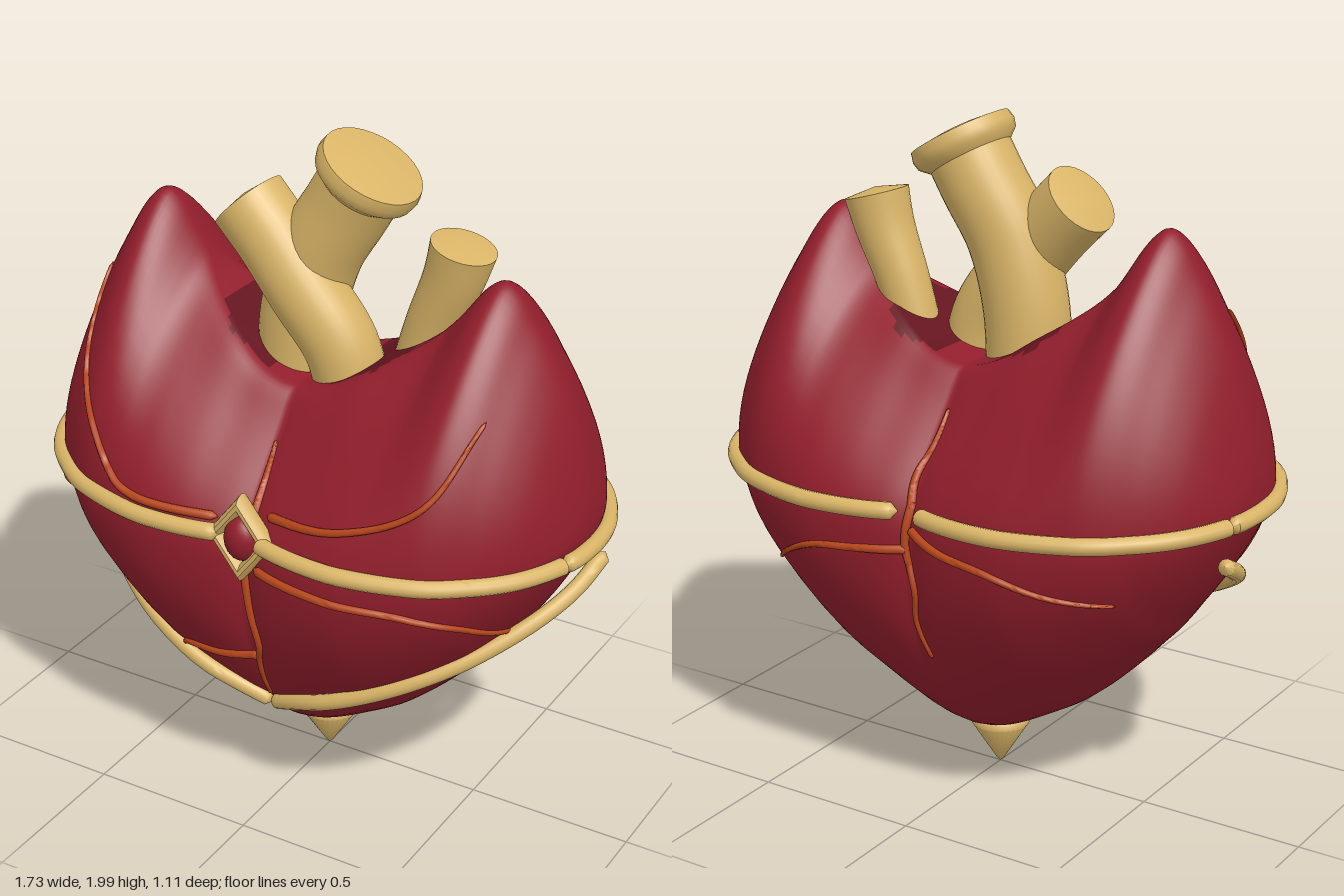
import * as THREE from 'three';
import { toCreasedNormals } from 'three/addons/utils/BufferGeometryUtils.js';

const material = (name, color) => {
  const m = new THREE.MeshStandardMaterial({ color });
  m.name = name;
  return m;
};

// Half-width stations of the heart: x, top y, bottom y, half depth
const STATIONS = [
  [0, 1.30, 0.14, 0.46], [0.06, 1.315, 0.15, 0.49], [0.13, 1.345, 0.18, 0.51],
  [0.21, 1.40, 0.225, 0.522], [0.30, 1.46, 0.28, 0.525], [0.37, 1.52, 0.335, 0.515],
  [0.43, 1.60, 0.39, 0.50], [0.49, 1.69, 0.45, 0.48], [0.54, 1.725, 0.505, 0.46],
  [0.59, 1.69, 0.56, 0.43], [0.64, 1.61, 0.63, 0.39], [0.69, 1.52, 0.70, 0.345],
  [0.74, 1.41, 0.78, 0.285], [0.78, 1.29, 0.855, 0.215], [0.81, 1.17, 0.92, 0.14],
  [0.825, 1.08, 0.96, 0.075], [0.83, 1.0, 1.0, 0],
];
const spline = (pick) => new THREE.CatmullRomCurve3(STATIONS.map(pick), false, 'catmullrom', 0.5);
const heights = spline(([x, t, b]) => new THREE.Vector3(x, t, b));
const depths = spline(([x, , , z]) => new THREE.Vector3(x, z, 0));

// Cross-section at spline position t, on one side of the heart
function sectionAt(t, side) {
  const p = heights.getPoint(t);
  let top = p.y;
  if (side > 0 && top > 1.3) top = 1.3 + (top - 1.3) * 0.87;
  return { x: p.x, top, bottom: p.z, depth: Math.max(0, depths.getPoint(t).y), mid: 0.88 + 0.12 * (p.x / 0.83) ** 2 };
}
function sectionAtX(x) {
  let lo = 0, hi = 1;
  for (let i = 0; i < 30; i++) {
    const m = (lo + hi) / 2;
    if (heights.getPoint(m).x < Math.abs(x)) lo = m; else hi = m;
  }
  return sectionAt(lo, Math.sign(x));
}
// Half depth of a section: u = 0 at the widest height, 1 at top or bottom
function halfDepth(s, u, upper) {
  const k = upper ? 0.36 : 0.75;
  const f = (1 - k) * Math.cos(u * Math.PI / 2) + k * Math.sqrt(Math.max(0, 1 - u * u));
  // flat floor in the valley above, groove fading out below
  if (upper) return s.depth * (f + 0.36 * Math.max(0, 1 - (s.x / 0.4) ** 2) * u ** 4);
  const groove = s.x < 0.25 ? Math.max(0, 0.522 - s.depth) : 0;
  return (s.depth + groove * u) * f;
}
function surfaceZ(x, y) {
  const s = sectionAtX(x), upper = y > s.mid;
  const u = Math.min(1, Math.abs(y - s.mid) / Math.max(0.001, upper ? s.top - s.mid : s.mid - s.bottom));
  return halfDepth(s, u, upper);
}

function heartGeometry() {
  const N = 72, R = 72, pos = [], red = [], dark = [];
  for (let i = -N; i <= N; i++) {
    const side = Math.sign(i), s = sectionAt(Math.abs(i) / N, side);
    for (let j = 0; j < R; j++) {
      const a = j / R * Math.PI * 2, u = Math.sin(a);
      const y = s.mid + u * (u > 0 ? s.top - s.mid : s.mid - s.bottom);
      pos.push(side * s.x, y, Math.sign(Math.cos(a)) * halfDepth(s, Math.abs(u), u > 0));
    }
  }
  for (let i = 0; i < 2 * N; i++) for (let j = 0; j < R; j++) {
    const a = i * R + j, b = a + R, c = i * R + (j + 1) % R, d = c + R;
    const x = Math.abs(pos[a * 3] + pos[d * 3]) / 2, z = (pos[a * 3 + 2] + pos[d * 3 + 2]) / 2;
    // dark hollows around the vessel roots
    const hollow = pos[a * 3 + 1] > 1.2 && ((x - 0.2) / 0.1) ** 2 + ((z + 0.02) / 0.18) ** 2 < 1;
    (hollow ? dark : red).push(a, b, d, a, d, c);
  }
  const g = new THREE.BufferGeometry();
  g.setAttribute('position', new THREE.Float32BufferAttribute(pos, 3));
  g.setIndex([...red, ...dark]);
  g.addGroup(0, red.length, 0);
  g.addGroup(red.length, dark.length, 1);
  g.computeVertexNormals();
  return g;
}

// Tube with a varying radius and closed, slightly domed ends
function tube(points, radius, segments = 40, sides = 12) {
  const curve = new THREE.CatmullRomCurve3(points);
  const g = new THREE.TubeGeometry(curve, segments, 1, sides), p = g.attributes.position;
  const v = new THREE.Vector3();
  for (let i = 0; i <= segments; i++) {
    const c = curve.getPointAt(i / segments);
    const r = i === 0 || i === segments ? 0 : radius(i / segments);
    for (let j = 0; j <= sides; j++) {
      const k = i * (sides + 1) + j;
      v.fromBufferAttribute(p, k).sub(c).multiplyScalar(r).add(c);
      p.setXYZ(k, v.x, v.y, v.z);
    }
  }
  return toCreasedNormals(g, 0.9);
}

const vectors = (list) => list.map((p) => new THREE.Vector3(...p));
const lathe = (profile) => toCreasedNormals(
  new THREE.LatheGeometry(profile.map((p) => new THREE.Vector2(...p)), 32), 0.7);

// Samples a front-view path and lays it on the heart surface
function onSurface(path, face, lift) {
  const curve = new THREE.CatmullRomCurve3(path.map(([x, y]) => new THREE.Vector3(x, y, 0)), false, 'centripetal');
  return curve.getPoints(28).map((p) => new THREE.Vector3(p.x * 1.004, p.y, face * (surfaceZ(p.x, p.y) + lift)));
}

export function createModel() {
  const group = new THREE.Group();
  const red = material('heart red', 0x921e2c);
  const dark = material('hollow dark red', 0x64141f);
  const gold = material('gold', 0xd9b467);
  const orange = material('vein orange', 0xb8461c);
  const add = (name, geometry, mat) => {
    const mesh = new THREE.Mesh(geometry, mat);
    mesh.name = name;
    group.add(mesh);
    return mesh;
  };

  add('heartBody', heartGeometry(), [red, dark]);

  // Vessels rising from the valley
  add('mainVessel', tube(vectors([[-0.1, 1.2, 0], [-0.085, 1.45, 0], [-0.03, 1.64, 0], [0.05, 1.78, -0.01], [0.115, 1.89, -0.01]]),
    () => 0.123, 32, 32), gold);
  const rim = add('mainVesselRim', lathe([[0, -0.05], [0.122, -0.05], [0.15, -0.025], [0.156, 0], [0.15, 0.026], [0.08, 0.036], [0, 0.04]]), gold);
  rim.position.set(0.118, 1.892, -0.008);
  rim.rotation.z = -0.52;
  add('crossingVessel', tube(vectors([[0.11, 1.2, 0.04], [0.07, 1.39, 0.055], [-0.04, 1.54, 0.062], [-0.15, 1.67, 0.05], [-0.255, 1.775, 0.04]]),
    (t) => 0.105 + 0.007 * t, 32, 32), gold);
  add('smallVessel', tube(vectors([[0.23, 1.25, -0.05], [0.3, 1.47, -0.05], [0.365, 1.63, -0.05], [0.395, 1.735, -0.05]]),
    (t) => 0.072 + 0.024 * t * t, 32, 32), gold);

  // Metal tip under the heart
  add('tip', lathe([[0, 0], [0.012, 0.012], [0.088, 0.135], [0.085, 0.155], [0.06, 0.18], [0, 0.195]]), gold);

  // Waist band in four pieces, angle measured from the front
  const waist = (side, from, to) => {
    const points = [];
    for (let i = 0; i <= 30; i++) {
      const a = from + (to - from) * i / 30, x = 0.83 * Math.sin(a);
      const z = Math.sign(Math.cos(a)) * (sectionAtX(x).depth + 0.004 * Math.abs(Math.cos(a)));
      points.push(new THREE.Vector3(side * x * 1.012, 0.96 - 0.016 * side * x + 0.008 * Math.cos(a), z));
    }
    add('waistBand', tube(points, () => 0.025, 60), gold);
  };
  waist(1, 0.07, 1.365);
  waist(1, 1.345, 3.11);
  waist(-1, 0.07, 1.795);
  waist(-1, 1.775, 3.09);

  // Lower band, sweeping from the front point up to each side
  for (const side of [1, -1]) {
    const path = vectors([[0, 0.335, 0.32], [0.1, 0.385, 0.355], [0.2, 0.428, 0.373], [0.32, 0.482, 0.362], [0.45, 0.545, 0.32],
      [0.587, 0.62, 0.235], [0.72, 0.715, 0.1], [0.785, 0.78, -0.02], [0.815, 0.845, -0.15]]);
    path.forEach((p) => p.setX(side * p.x));
    if (side < 0) path.forEach((p) => { p.y += 0.03 * (p.y - 0.335); });
    add('lowerBand', tube(path, () => 0.024, 60), gold);
  }

  // Diamond clasp with a gem
  const frame = add('claspFrame', toCreasedNormals(new THREE.TorusGeometry(0.096, 0.028, 10, 4), 0.7), gold);
  frame.scale.set(0.85, 1.1, 1.1);
  frame.position.set(0.003, 0.965, 0.478);
  const gem = add('gem', new THREE.SphereGeometry(1, 24, 16), red);
  gem.scale.set(0.052, 0.066, 0.042);
  gem.position.set(0.005, 0.965, 0.485);

  // Surface veins: thick at the first point, fading to the last
  const veins = [
    [1, [[-0.08, 1.0], [-0.38, 1.02], [-0.43, 1.05], [-0.55, 1.2], [-0.64, 1.36], [-0.67, 1.5]]],
    [1, [[0.01, 1.0], [0.01, 1.09], [0, 1.18]]],
    [1, [[0.06, 1.03], [0.28, 1.06], [0.47, 1.13], [0.55, 1.2], [0.62, 1.38]]],
    [1, [[0.04, 0.88], [0.3, 0.87], [0.5, 0.855], [0.62, 0.8], [0.66, 0.72], [0.67, 0.67]]],
    [1, [[0, 0.86], [0.02, 0.72], [0.035, 0.61], [0.02, 0.55], [0.01, 0.48], [0, 0.37]]],
    [1, [[0.025, 0.56], [-0.1, 0.53], [-0.25, 0.5], [-0.28, 0.46], [-0.32, 0.38]]],
    [1, [[-0.66, 0.95], [-0.7, 0.84], [-0.68, 0.76], [-0.64, 0.7]]],
    [-1, [[0, 0.95], [0.01, 1.04], [-0.01, 1.12], [-0.01, 1.2]]],
    [-1, [[0, 0.98], [0.01, 0.85], [-0.02, 0.72], [-0.01, 0.62], [-0.04, 0.5]]],
    [-1, [[0, 0.84], [0.15, 0.83], [0.3, 0.81], [0.42, 0.75], [0.5, 0.69]]],
    [-1, [[0, 0.9], [-0.12, 0.87], [-0.28, 0.85], [-0.45, 0.8], [-0.6, 0.77]]],
  ];
  for (const [face, path] of veins) {
    add('vein', tube(onSurface(path, face, 0.003), (t) => 0.014 - 0.008 * t, 48, 8), orange);
  }
  return group;
}
